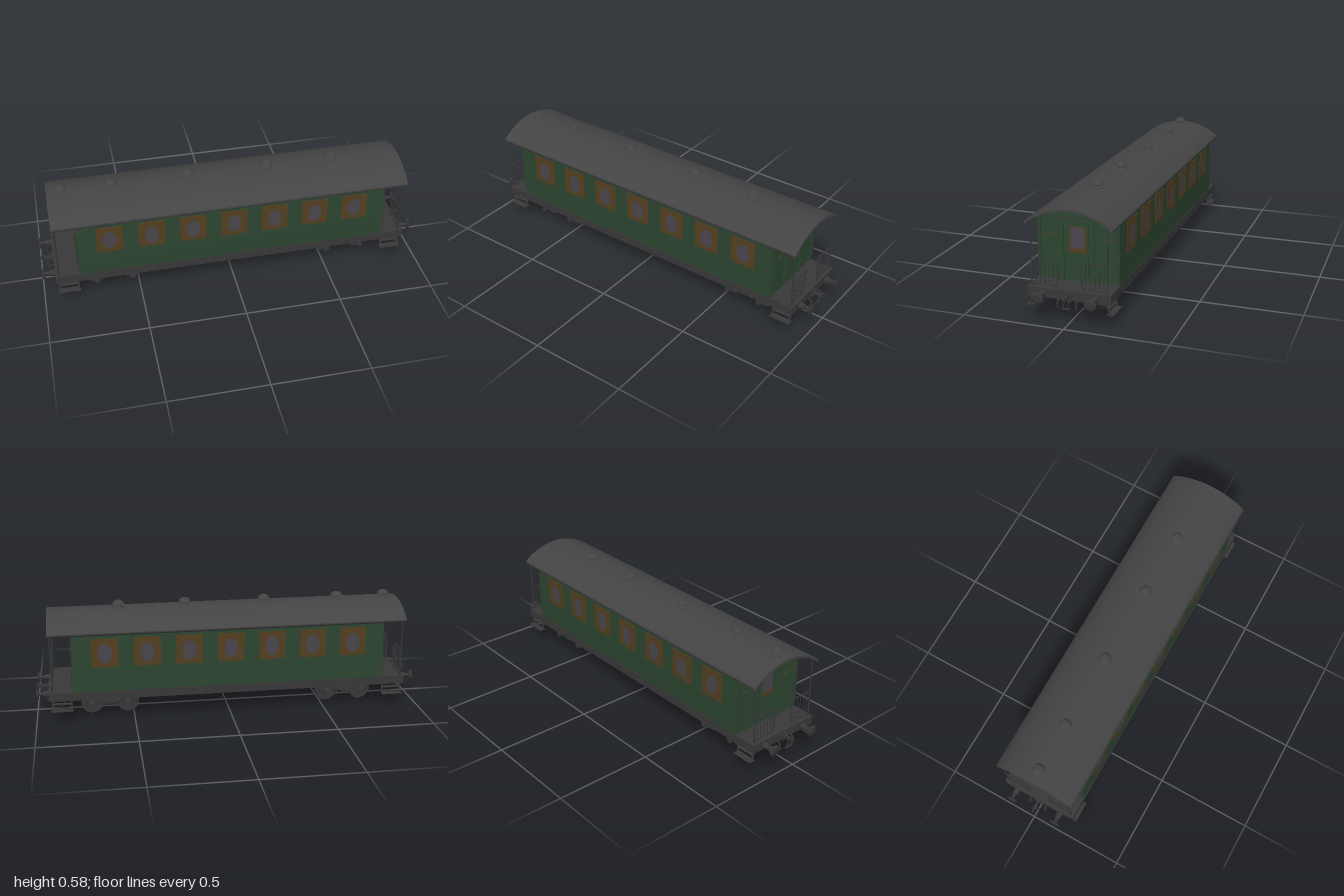
import * as THREE from 'three';
import { toCreasedNormals } from 'three/addons/utils/BufferGeometryUtils.js';

const mat = (name, color) => {
  const m = new THREE.MeshStandardMaterial({ color });
  m.name = name;
  return m;
};
const green = mat('bodyGreen', 0x2c4530);
const roofGrey = mat('roofGrey', 0x444444);
const iron = mat('ironGrey', 0x383838);
const wood = mat('windowBrown', 0x543f20);
const glass = mat('windowGlass', 0x4a464c);

function add(parent, name, geo, material, x = 0, y = 0, z = 0) {
  const m = new THREE.Mesh(geo, material);
  m.name = name;
  m.position.set(x, y, z);
  parent.add(m);
  return m;
}
const box = (p, name, m, w, h, d, x, y, z) => add(p, name, new THREE.BoxGeometry(w, h, d), m, x, y, z);

// Round bar from a to b; r2 tapers the far end
function rod(p, name, m, a, b, r, r2 = r, sides = 8) {
  const s = new THREE.Vector3(...a), e = new THREE.Vector3(...b);
  const dir = e.clone().sub(s);
  const mesh = add(p, name, new THREE.CylinderGeometry(r2, r, dir.length(), sides), m);
  mesh.position.copy(s).lerp(e, 0.5);
  mesh.quaternion.setFromUnitVectors(new THREE.Vector3(0, 1, 0), dir.normalize());
  return mesh;
}

// Flat (z, y) outline stretched along x, centred
function alongX(shape, length) {
  const g = new THREE.ExtrudeGeometry(shape, { depth: length, bevelEnabled: false });
  g.translate(0, 0, -length / 2).rotateY(Math.PI / 2);
  return toCreasedNormals(g, 0.5);
}

// Arched roof line from one eave to the other
function arch(halfWidth, eave, crown, n = 20) {
  const pts = [];
  for (let i = 0; i <= n; i++) {
    const t = -1 + (2 * i) / n;
    const rise = 0.72 * (1 - t * t) + 0.28 * Math.sqrt(1 - t * t);
    pts.push(new THREE.Vector2(t * halfWidth, eave + (crown - eave) * rise));
  }
  return pts;
}

function buildBody(g) {
  const outline = [new THREE.Vector2(0.2, 0.155), new THREE.Vector2(-0.2, 0.155),
    new THREE.Vector2(-0.203, 0.28), ...arch(0.203, 0.457, 0.533), new THREE.Vector2(0.203, 0.28)];
  add(g, 'body', alongX(new THREE.Shape(outline), 1.61), green, -0.003);

  const shell = [...arch(0.215, 0.463, 0.545), ...arch(0.207, 0.456, 0.533).reverse()];
  add(g, 'roof', alongX(new THREE.Shape(shell), 1.855), roofGrey);

  // Side windows: brown frame, dark rounded pane
  for (const side of [1, -1]) {
    for (let i = -3; i <= 3; i++) {
      const x = i * 0.214;
      box(g, 'windowFrame', wood, 0.135, 0.15, 0.006, x, 0.365, side * 0.2035);
      const pane = add(g, 'windowPane', new THREE.CircleGeometry(1, 16), glass, x, 0.36, side * 0.2072);
      pane.scale.set(0.036, 0.052, 1);
      if (side < 0) pane.rotation.y = Math.PI;
    }
    rod(g, 'roofGutter', iron, [-0.925, 0.465, side * 0.212], [0.925, 0.465, side * 0.212], 0.005);
  }

  // Roof ventilators
  const profile = [[0.03, 0.538], [0.03, 0.547], [0.018, 0.551], [0.018, 0.563], [0.031, 0.563],
    [0.027, 0.572], [0.016, 0.58], [0, 0.582]].map(([r, y]) => new THREE.Vector2(r, y));
  const ventGeo = toCreasedNormals(new THREE.LatheGeometry(profile, 20), 0.7);
  for (const x of [-0.855, -0.6, -0.205, 0.215, 0.56]) add(g, 'roofVent', ventGeo, roofGrey, x, 0, -0.004);
}

function buildUnderframe(g) {
  box(g, 'floor', iron, 1.85, 0.02, 0.39, 0, 0.148, 0);
  for (const s of [1, -1]) {
    box(g, 'soleBar', iron, 1.86, 0.043, 0.014, 0, 0.137, s * 0.196);
    box(g, 'innerBeam', iron, 1.8, 0.025, 0.012, 0, 0.128, s * 0.08);
    // Sagging truss rod
    const path = new THREE.CatmullRomCurve3([[-0.46, 0.118], [-0.3, 0.09], [0, 0.084], [0.3, 0.09], [0.46, 0.118]]
      .map(([x, y]) => new THREE.Vector3(x, y, s * 0.05)));
    add(g, 'trussRod', new THREE.TubeGeometry(path, 24, 0.003, 6), iron);
  }
  for (let i = -3; i <= 3; i++) box(g, 'crossBeam', iron, 0.014, 0.02, 0.38, i * 0.26, 0.13, 0);
  box(g, 'equipmentBox', iron, 0.115, 0.06, 0.1, -0.17, 0.095, 0);
  rod(g, 'brakeCylinder', iron, [0.11, 0.1, 0], [0.2, 0.1, 0], 0.028, 0.028, 16);
  rod(g, 'brakeCylinderNose', iron, [0.2, 0.1, 0], [0.24, 0.1, 0], 0.028, 0.01, 16);
}

function buildBogie(parent, x0) {
  const g = new THREE.Group();
  g.name = 'bogie';
  g.position.x = x0;
  parent.add(g);
  for (const x of [-0.093, 0.093]) {
    rod(g, 'axle', iron, [x, 0.058, -0.12], [x, 0.058, 0.12], 0.015, 0.015, 12);
    for (const s of [1, -1]) {
      rod(g, 'wheelTread', iron, [x, 0.058, s * 0.086], [x, 0.058, s * 0.096], 0.054, 0.052, 28);
      rod(g, 'wheelFlange', iron, [x, 0.058, s * 0.083], [x, 0.058, s * 0.088], 0.058, 0.058, 28);
      rod(g, 'axleBox', iron, [x, 0.06, s * 0.112], [x, 0.06, s * 0.155], 0.019, 0.016, 14);
      box(g, 'hornGuide', iron, 0.055, 0.06, 0.008, x, 0.068, s * 0.117);
      for (const e of [-0.036, 0.036]) {
        rod(g, 'boxSpring', iron, [x + e, 0.062, s * 0.128], [x + e, 0.097, s * 0.128], 0.01, 0.01, 10);
      }
      box(g, 'brakeShoe', iron, 0.01, 0.04, 0.012, x - Math.sign(x) * 0.063, 0.062, s * 0.09);
    }
  }
  for (const s of [1, -1]) {
    box(g, 'sideFrame', iron, 0.28, 0.016, 0.014, 0, 0.1, s * 0.118);
    for (const k of [0, 1, 2]) box(g, 'leafSpring', iron, 0.1 - k * 0.025, 0.007, 0.02, 0, 0.083 - k * 0.008, s * 0.125);
    box(g, 'springHanger', iron, 0.016, 0.045, 0.012, 0, 0.08, s * 0.12);
  }
  box(g, 'bolster', iron, 0.06, 0.04, 0.24, 0, 0.105, 0);
  for (const x of [-0.135, 0.135]) box(g, 'endBar', iron, 0.012, 0.014, 0.24, x, 0.1, 0);
  rod(g, 'pivot', iron, [0, 0.1, 0], [0, 0.145, 0], 0.03, 0.03, 14);
}

// One open platform, facing +x
function buildEnd() {
  const g = new THREE.Group();
  g.name = 'platformEnd';
  const wall = 0.803;
  box(g, 'door', green, 0.006, 0.29, 0.1, wall, 0.305, 0);
  box(g, 'doorWindowFrame', wood, 0.006, 0.125, 0.082, wall + 0.002, 0.362, 0);
  box(g, 'doorWindowPane', glass, 0.004, 0.1, 0.064, wall + 0.005, 0.371, 0);
  box(g, 'wallBeam', iron, 0.008, 0.006, 0.4, wall, 0.463, 0);
  box(g, 'doorLintel', green, 0.012, 0.01, 0.15, wall, 0.45, 0);
  box(g, 'headstock', iron, 0.016, 0.045, 0.38, 0.925, 0.137, 0);

  for (const s of [1, -1]) {
    box(g, 'doorPost', green, 0.012, 0.36, 0.008, wall, 0.335, s * 0.075);
    box(g, 'cornerPost', green, 0.01, 0.3, 0.012, wall, 0.31, s * 0.192);
    rod(g, 'handrail', wood, [wall + 0.008, 0.376, s * 0.1], [wall + 0.008, 0.376, s * 0.172], 0.0025);
    rod(g, 'roofPost', iron, [0.915, 0.15, s * 0.186], [0.915, 0.475, s * 0.186], 0.004);

    // Railing with rounded corners
    const loop = [[0.066, 0.172], [0.058, 0.185], [0.058, 0.285], [0.068, 0.298], [0.184, 0.298], [0.186, 0.172]];
    loop.forEach(([z, y], i) => {
      const [z2, y2] = loop[(i + 1) % loop.length];
      rod(g, 'railing', iron, [0.915, y, s * z], [0.915, y2, s * z2], 0.0035);
    });
    for (let i = 0; i < 5; i++) {
      const z = s * (0.078 + i * 0.022);
      rod(g, 'railingBar', iron, [0.915, 0.172, z], [0.915, 0.298, z], 0.002, 0.002, 6);
    }
    for (const z of [0.07, 0.175]) rod(g, 'railingFoot', iron, [0.915, 0.155, s * z], [0.915, 0.175, s * z], 0.003);
    rod(g, 'sideHandrail', iron, [0.815, 0.18, s * 0.197], [0.815, 0.42, s * 0.197], 0.0025);

    // Steps
    for (const x of [0.82, 0.915]) rod(g, 'stepBracket', iron, [x, 0.125, s * 0.172], [x, 0.064, s * 0.197], 0.005);
    box(g, 'lowerStep', iron, 0.11, 0.005, 0.034, 0.868, 0.063, s * 0.198);
    box(g, 'upperStep', iron, 0.1, 0.005, 0.022, 0.868, 0.095, s * 0.187);

    // Buffers
    const z = s * 0.128;
    rod(g, 'bufferSleeve', iron, [0.93, 0.133, z], [0.962, 0.133, z], 0.018, 0.014, 14);
    rod(g, 'bufferShaft', iron, [0.96, 0.133, z], [0.988, 0.133, z], 0.009, 0.009, 12);
    rod(g, 'bufferHead', iron, [0.986, 0.133, z], [0.994, 0.133, z], 0.024, 0.03, 24);
    rod(g, 'bufferFace', iron, [0.994, 0.133, z], [0.999, 0.133, z], 0.03, 0.018, 24);

    // Brake hose
    const hose = new THREE.CatmullRomCurve3([[0.93, 0.12], [0.95, 0.115], [0.955, 0.085], [0.94, 0.068]]
      .map(([x, y]) => new THREE.Vector3(x, y, s * 0.045)));
    add(g, 'brakeHose', new THREE.TubeGeometry(hose, 12, 0.004, 6), iron);
  }

  // Drawhook and screw coupling
  box(g, 'hookPlate', iron, 0.008, 0.04, 0.03, 0.936, 0.13, 0);
  box(g, 'drawHook', iron, 0.045, 0.014, 0.01, 0.96, 0.133, 0);
  const hook = add(g, 'hookCurve', new THREE.TorusGeometry(0.012, 0.005, 6, 12, 4.2), iron, 0.983, 0.137, 0);
  hook.rotation.z = -2.6;
  for (const s of [1, -1]) rod(g, 'couplingLink', iron, [0.972, 0.132, s * 0.01], [0.965, 0.085, s * 0.012], 0.003);
  rod(g, 'couplingScrew', iron, [0.965, 0.085, -0.02], [0.965, 0.085, 0.02], 0.005);
  return g;
}

export function createModel() {
  const model = new THREE.Group();
  model.name = 'railwayCoach';
  buildBody(model);
  buildUnderframe(model);
  for (const x of [-0.627, 0.622]) buildBogie(model, x);
  const left = buildEnd();
  const right = buildEnd();
  right.rotation.y = Math.PI;
  model.add(left, right);
  return model;
}
